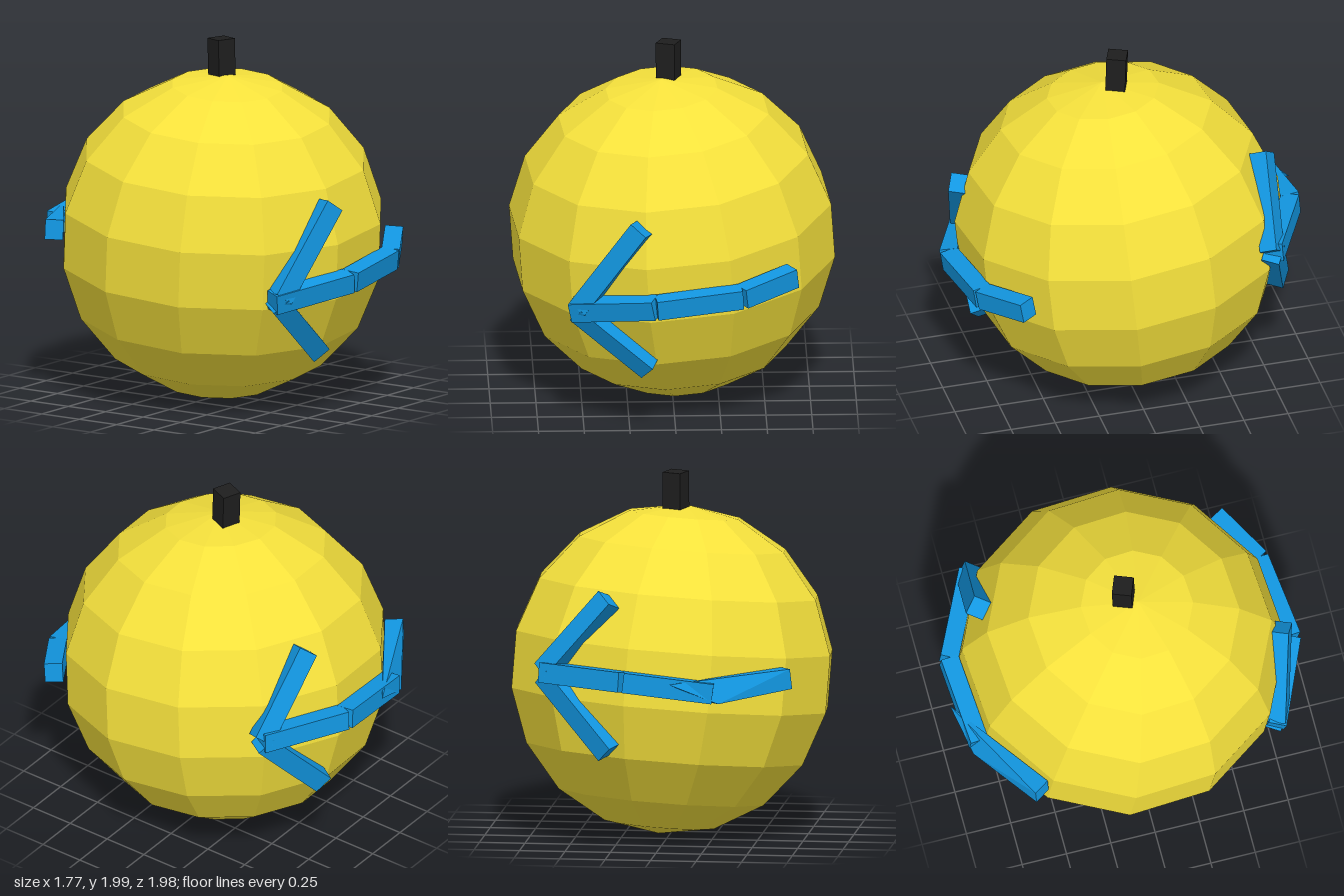
import * as THREE from 'three';

const CENTRE = new THREE.Vector3(0, 0.906, 0);

const paint = (color) => new THREE.MeshStandardMaterial({ color, flatShading: true });

// Point given by direction from the fruit's centre, set at radius r
const onShell = ([x, y, z], r) =>
  new THREE.Vector3(x, y, z).sub(CENTRE).setLength(r).add(CENTRE);

// Bar from a to b with its broad face turned away from the fruit.
// An optional spike pulls the upper outer corner at the start to a given point.
function bar(name, a, b, width, depth, material, spike) {
  const along = b.clone().sub(a);
  const length = along.length();
  along.normalize();
  const mid = a.clone().add(b).multiplyScalar(0.5);
  const out = mid.clone().sub(CENTRE);
  out.addScaledVector(along, -out.dot(along)).normalize();
  const side = out.clone().cross(along);
  const matrix = new THREE.Matrix4().makeBasis(along, side, out).setPosition(mid);

  const geometry = new THREE.BoxGeometry(length, width, depth);
  geometry.applyMatrix4(matrix);
  if (spike) {
    const corner = new THREE.Vector3(-length / 2, width / 2, depth / 2).applyMatrix4(matrix);
    const pos = geometry.attributes.position;
    const v = new THREE.Vector3();
    for (let i = 0; i < pos.count; i++) {
      if (v.fromBufferAttribute(pos, i).distanceTo(corner) < 1e-4) pos.setXYZ(i, ...spike);
    }
    geometry.computeVertexNormals();
  }
  const mesh = new THREE.Mesh(geometry, material);
  mesh.name = name;
  return mesh;
}

// Arrow bent round the fruit: a chain of shaft bars and two head bars
function arrow(name, shaft, heads, material, spike) {
  const group = new THREE.Group();
  group.name = name;
  const pts = shaft.map((p) => onShell(p, 0.945));
  for (let i = 0; i < pts.length - 1; i++) {
    const last = i === pts.length - 2;
    group.add(bar('shaftBar', pts[i], pts[i + 1], 0.11, 0.1, material, last ? spike : null));
  }
  for (const [from, to] of heads) {
    group.add(bar('headBar', onShell(from, 0.935), onShell(to, 0.925), 0.11, 0.1, material));
  }
  return group;
}

export function createModel() {
  const model = new THREE.Group();
  model.name = 'fruitWithArrows';
  const yellow = paint(0xf5e13c);
  const blue = paint(0x1296e0);
  const black = paint(0x1e1e1e);

  // Faceted round body, slightly tilted
  const body = new THREE.Mesh(new THREE.SphereGeometry(0.905, 12, 9), yellow);
  body.name = 'body';
  const tilt = new THREE.Quaternion().setFromUnitVectors(
    new THREE.Vector3(0, 1, 0), new THREE.Vector3(-0.07, 1, 0.09).normalize());
  const turn = new THREE.Quaternion().setFromAxisAngle(
    new THREE.Vector3(0, 1, 0), THREE.MathUtils.degToRad(-10));
  body.quaternion.copy(tilt).multiply(turn);
  body.position.copy(CENTRE);
  model.add(body);

  // Square stem
  const stem = new THREE.Mesh(new THREE.BoxGeometry(0.108, 0.26, 0.108), black);
  stem.name = 'stem';
  stem.position.set(-0.02, 1.868, 0.01);
  stem.rotation.set(-0.03, -0.37, 0);
  model.add(stem);

  // Front arrow, pointing to -x
  model.add(arrow('frontArrow',
    [[-0.56, 0.70, 0.73], [-0.11, 0.77, 0.93], [0.36, 0.81, 0.87], [0.64, 0.87, 0.69]],
    [
      [[-0.52, 0.72, 0.75], [-0.19, 1.20, 0.86]],
      [[-0.53, 0.70, 0.74], [-0.14, 0.36, 0.74]],
    ], blue));

  // Back arrow, pointing to +x, its last bar drawn out to a thin spike
  model.add(arrow('backArrow',
    [[0.62, 0.99, -0.70], [0.16, 0.98, -0.93], [-0.33, 0.92, -0.89], [-0.71, 0.97, -0.63]],
    [
      [[0.62, 0.99, -0.70], [0.27, 1.42, -0.76]],
      [[0.61, 0.98, -0.70], [0.25, 0.57, -0.83]],
    ], blue, [-0.1, 0.98, -0.99]));

  return model;
}
